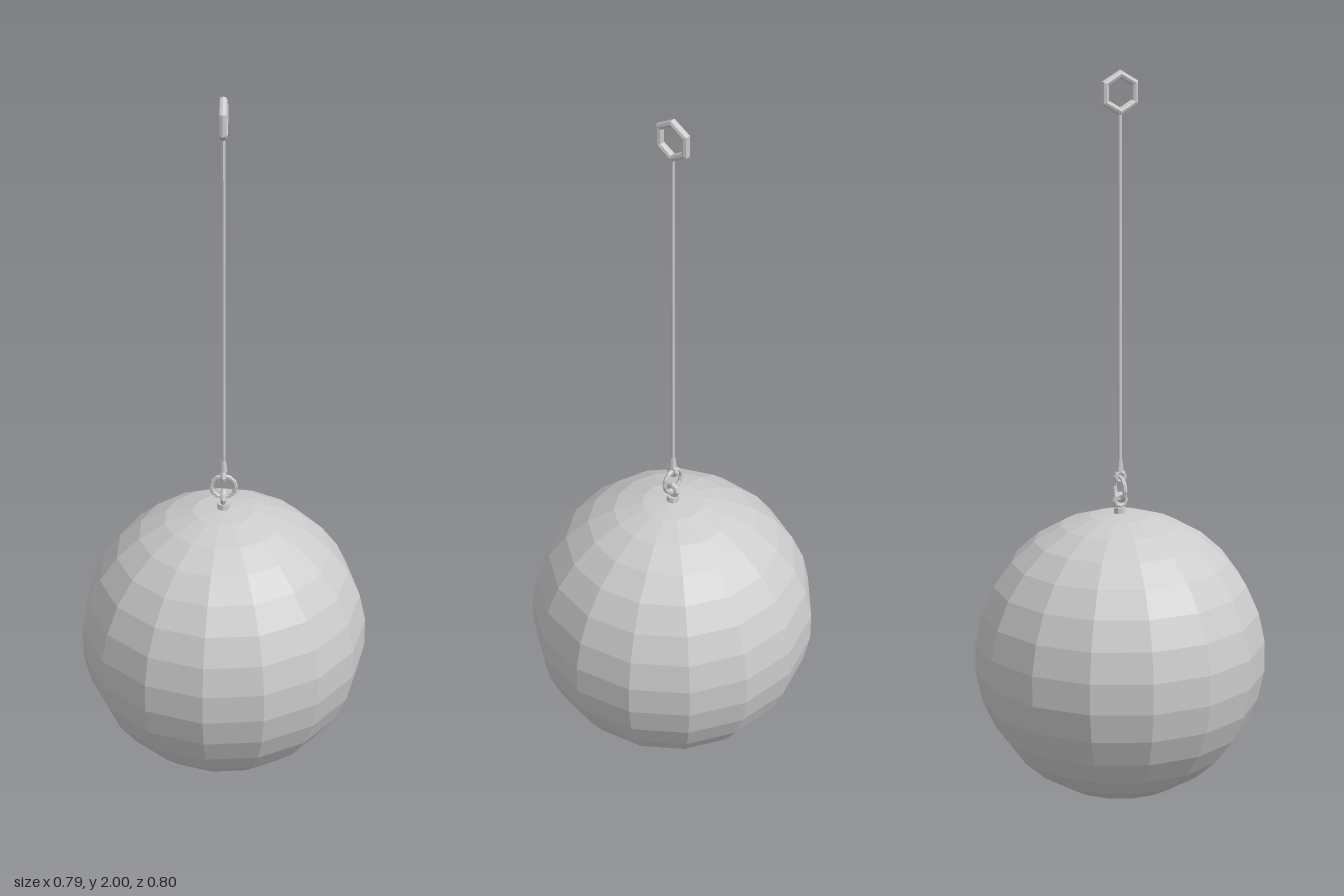
import * as THREE from 'three';

const R = 0.402;
const material = new THREE.MeshStandardMaterial({ color: 0xcccccc, flatShading: true });

export function createModel() {
  const group = new THREE.Group();

  const add = (name, geometry, y) => {
    const mesh = new THREE.Mesh(geometry, material);
    mesh.name = name;
    mesh.position.set(-0.0044, y, 0);
    group.add(mesh);
    return mesh;
  };
  const rod = (name, top, bottom, y0, y1, sides = 8) =>
    add(name, new THREE.CylinderGeometry(top, bottom, y1 - y0, sides), (y0 + y1) / 2);
  // Ring standing upright and facing x, one corner pointing up
  const sideRing = (name, radius, tube, y, sides) =>
    add(name, new THREE.TorusGeometry(radius, tube, 8, sides).rotateZ(Math.PI / 2).rotateY(Math.PI / 2), y);

  // Faceted ball, one corner pointing to +x
  add('ball', new THREE.SphereGeometry(R, 15, 15).rotateY(Math.PI), R);

  // Mount on top of the ball
  rod('mountBase', 0.016, 0.018, 0.79, 0.818);
  sideRing('mountEye', 0.016, 0.008, 0.838, 8);

  // Link joining the mount to the cable
  add('linkRing', new THREE.TorusGeometry(0.034, 0.006, 6, 12), 0.87);

  // Cable with its lower eye and tapered sleeve
  sideRing('cableEye', 0.013, 0.007, 0.904, 8);
  rod('cableSleeve', 0.007, 0.011, 0.918, 0.95);
  rod('cable', 0.006, 0.006, 0.94, 1.895, 6);

  // Six-sided handle
  sideRing('handle', 0.049, 0.011, 1.94, 6);

  return group;
}
